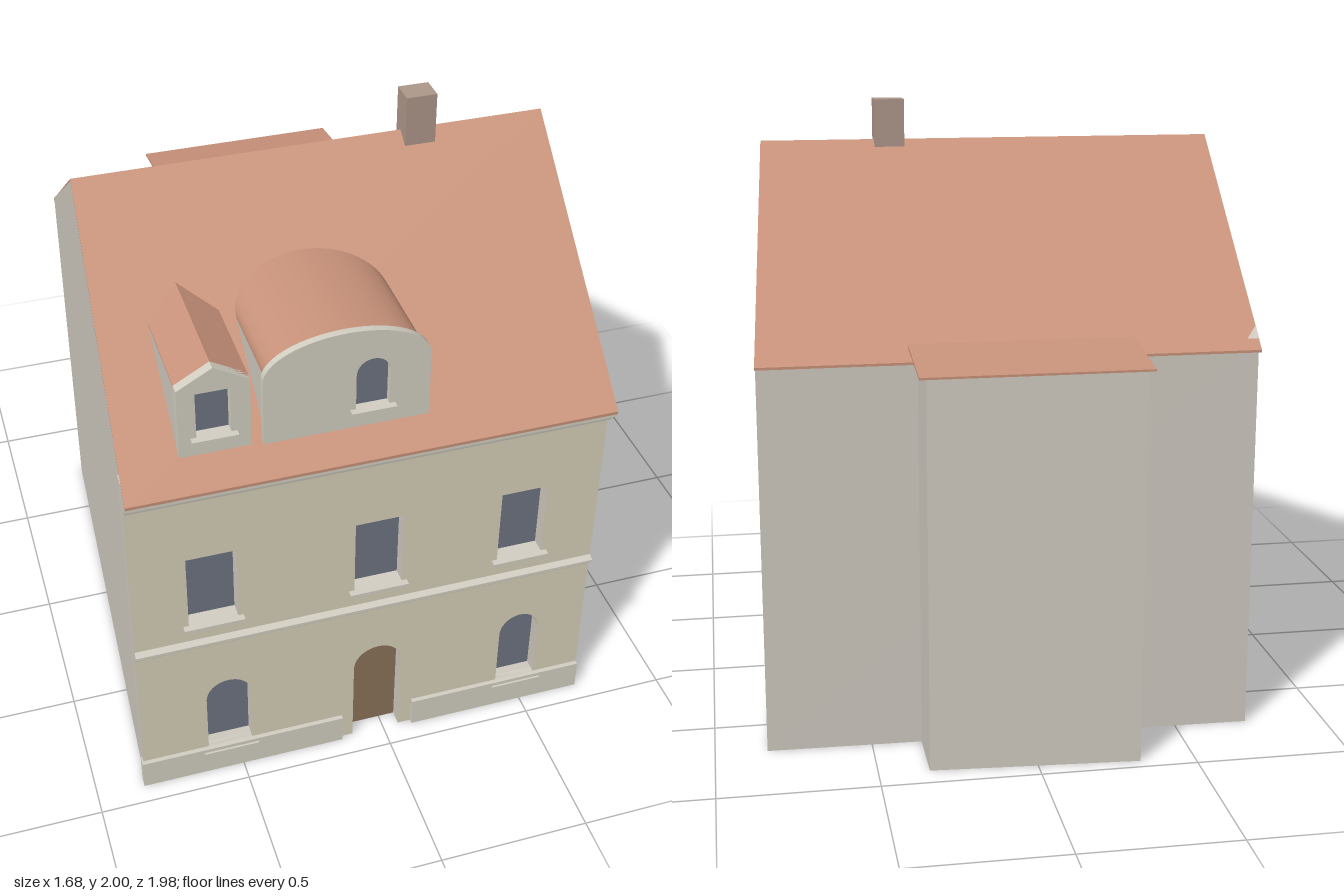
import * as THREE from 'three';
import { toCreasedNormals } from 'three/addons/utils/BufferGeometryUtils.js';

const mat = (color) => new THREE.MeshStandardMaterial({ color, side: THREE.DoubleSide });

export function createModel() {
  const house = new THREE.Group();
  house.name = 'house';
  const M = {
    facade: mat(0xd6cfb8), side: mat(0xcec8be), trim: mat(0xd2cec2), roof: mat(0xc8927a),
    glass: mat(0x6e7480), door: mat(0x8a7258), chimney: mat(0xae978a),
  };

  const add = (name, geometry, material, parent = house) => {
    const mesh = new THREE.Mesh(geometry, material);
    mesh.name = name;
    parent.add(mesh);
    return mesh;
  };
  const box = (name, x0, x1, y0, y1, z0, z1, material, parent) => add(name,
    new THREE.BoxGeometry(x1 - x0, y1 - y0, z1 - z0)
      .translate((x0 + x1) / 2, (y0 + y1) / 2, (z0 + z1) / 2), material, parent);

  // The plan is a slightly skewed quadrilateral: side lines drift in x with z
  const left = (z) => -0.788 - 0.06 * (z - 0.1);
  const right = (z) => 0.774 - 0.074 * (z - 0.1);

  // Extrudes a [z, y] profile across x between two side lines; skew turns the rear wall
  const across = (name, profile, material, l = left, r = right, skew = 0) => {
    const shape = new THREE.Shape(profile.map(([z, y]) => new THREE.Vector2(-z, y)));
    const g = new THREE.ExtrudeGeometry(shape, { depth: 1, bevelEnabled: false }).rotateY(Math.PI / 2);
    const p = g.attributes.position;
    for (let i = 0; i < p.count; i++) {
      const z = p.getZ(i);
      const x = THREE.MathUtils.lerp(l(z), r(z), p.getX(i));
      p.setXYZ(i, x, p.getY(i), z < -0.61 ? z + skew * x : z);
    }
    g.computeVertexNormals();
    return add(name, g, material);
  };

  // Extrudes an outline in the x-y plane from z0 to z1
  const slab = (name, shape, z0, z1, material, parent) => add(name, toCreasedNormals(
    new THREE.ExtrudeGeometry(shape, { depth: z1 - z0, bevelEnabled: false, curveSegments: 16 })
      .translate(0, 0, z0), 0.5), material, parent);

  // Rectangle whose top may be an elliptical arch of height rise
  const opening = (x0, x1, y0, y1, rise = 0, Type = THREE.Shape) => {
    const s = new Type();
    s.moveTo(x0, y0);
    s.lineTo(x1, y0);
    s.lineTo(x1, y1 - rise);
    if (rise) s.absellipse((x0 + x1) / 2, y1 - rise, (x1 - x0) / 2, rise, 0, Math.PI, false);
    else s.lineTo(x0, y1);
    s.closePath();
    return s;
  };
  const pane = (name, shape, z, material, parent) =>
    add(name, new THREE.ShapeGeometry(shape, 16).translate(0, 0, z), material, parent);

  // Cuts a window in a wall outline and adds its glass and sill
  const addWindow = (wall, [x0, x1, y0, y1, rise], glassZ, wallZ, sillY, parent) => {
    wall.holes.push(opening(x0, x1, y0, y1, rise, THREE.Path));
    pane('windowGlass', opening(x0, x1, y0, y1, rise), glassZ, M.glass, parent);
    box('windowSill', x0 - 0.018, x1 + 0.018, sillY, sillY + 0.012, glassZ, wallZ + 0.022, M.trim, parent);
  };

  // Main body with gables, and rear extension
  across('body', [[0.87, 0], [0.87, 1.338], [0.11, 1.855], [-0.715, 1.3], [-0.715, 0]],
    M.side, left, right, 0.019);
  across('rearExtension', [[-0.6, 0], [-0.6, 1.27], [-0.7, 1.303], [-0.94, 1.271], [-0.94, 0]],
    M.side, () => -0.325, () => 0.34, 0.06);

  // Street wall with the arched doorway notched into its outline
  const wall = new THREE.Shape();
  wall.moveTo(-0.838, 0);
  wall.lineTo(-0.11, 0);
  wall.lineTo(-0.11, 0.318);
  wall.absarc(-0.0275, 0.318, 0.0825, Math.PI, 0, true);
  wall.lineTo(0.055, 0);
  wall.lineTo(0.713, 0);
  wall.lineTo(0.713, 1.305);
  wall.lineTo(-0.838, 1.305);
  wall.closePath();
  for (const [x0, x1] of [[-0.66, -0.5], [-0.115, 0.045], [0.375, 0.53]])
    addWindow(wall, [x0, x1, 0.68, 0.96, 0], 0.872, 0.92, 0.67, house);
  for (const [x0, x1] of [[-0.615, -0.465], [0.41, 0.55]])
    addWindow(wall, [x0, x1, 0.105, 0.4, 0.075], 0.872, 0.92, 0.08, house);
  slab('streetWall', wall, 0.87, 0.92, [M.facade, M.side]);
  pane('door', opening(-0.11, 0.055, 0, 0.4, 0.0825), 0.872, M.door);

  // Plinth, string course and eaves cornice
  box('plinthRight', -0.843, -0.15, 0, 0.105, 0.9, 0.935, M.trim);
  box('plinthLeft', 0.1, 0.713, 0, 0.105, 0.9, 0.935, M.trim);
  across('stringCourse', [[0.9, 0.58], [0.925, 0.58], [0.928, 0.588], [0.945, 0.602], [0.945, 0.612],
    [0.9, 0.618]], M.trim);
  across('cornice', [[0.9, 1.21], [0.945, 1.21], [0.948, 1.226], [0.972, 1.243], [0.982, 1.25],
    [0.982, 1.264], [0.92, 1.305], [0.9, 1.305]], M.trim);

  // Roofs
  across('mainRoof', [[0.985, 1.272], [0.11, 1.863], [-0.77, 1.272], [-0.77, 1.264], [0.11, 1.853],
    [0.985, 1.262]], M.roof);
  across('extensionRoof', [[-0.69, 1.317], [-0.99, 1.275], [-0.99, 1.268], [-0.69, 1.307]],
    M.roof, () => -0.34, () => 0.37);
  box('chimney', 0.285, 0.387, 1.72, 2, 0.075, 0.16, M.chimney);

  // Pointed dormer
  const pointed = new THREE.Group();
  pointed.name = 'pointedDormer';
  house.add(pointed);
  const outline = (pts) => new THREE.Shape(pts.map(([x, y]) => new THREE.Vector2(x, y)));
  const front = outline([[-0.655, 1.335], [-0.435, 1.335], [-0.435, 1.58], [-0.545, 1.643], [-0.655, 1.58]]);
  addWindow(front, [-0.6, -0.495, 1.4, 1.56, 0], 0.857, 0.888, 1.39, pointed);
  slab('dormerFront', front, 0.855, 0.888, M.trim, pointed);
  box('dormerSides', -0.655, -0.435, 1.335, 1.575, 0.45, 0.855, M.side, pointed);
  slab('dormerRoof', outline([[-0.655, 1.575], [-0.435, 1.575], [-0.435, 1.58], [-0.545, 1.643],
    [-0.655, 1.58]]), 0.38, 0.875, M.roof, pointed);

  // Barrel-roofed dormer with an oversailing front
  const barrel = new THREE.Group();
  barrel.name = 'barrelDormer';
  house.add(barrel);
  const face = opening(-0.4, 0.117, 1.335, 1.685, 0.125);
  addWindow(face, [-0.115, -0.01, 1.4, 1.578, 0.0525], 0.872, 0.895, 1.39, barrel);
  slab('dormerFront', face, 0.871, 0.895, M.trim, barrel);
  box('dormerSides', -0.388, 0.105, 1.335, 1.56, 0.45, 0.871, M.side, barrel);
  slab('dormerRoof', opening(-0.388, 0.105, 1.555, 1.665, 0.105), 0.35, 0.871, M.roof, barrel);

  return house;
}
